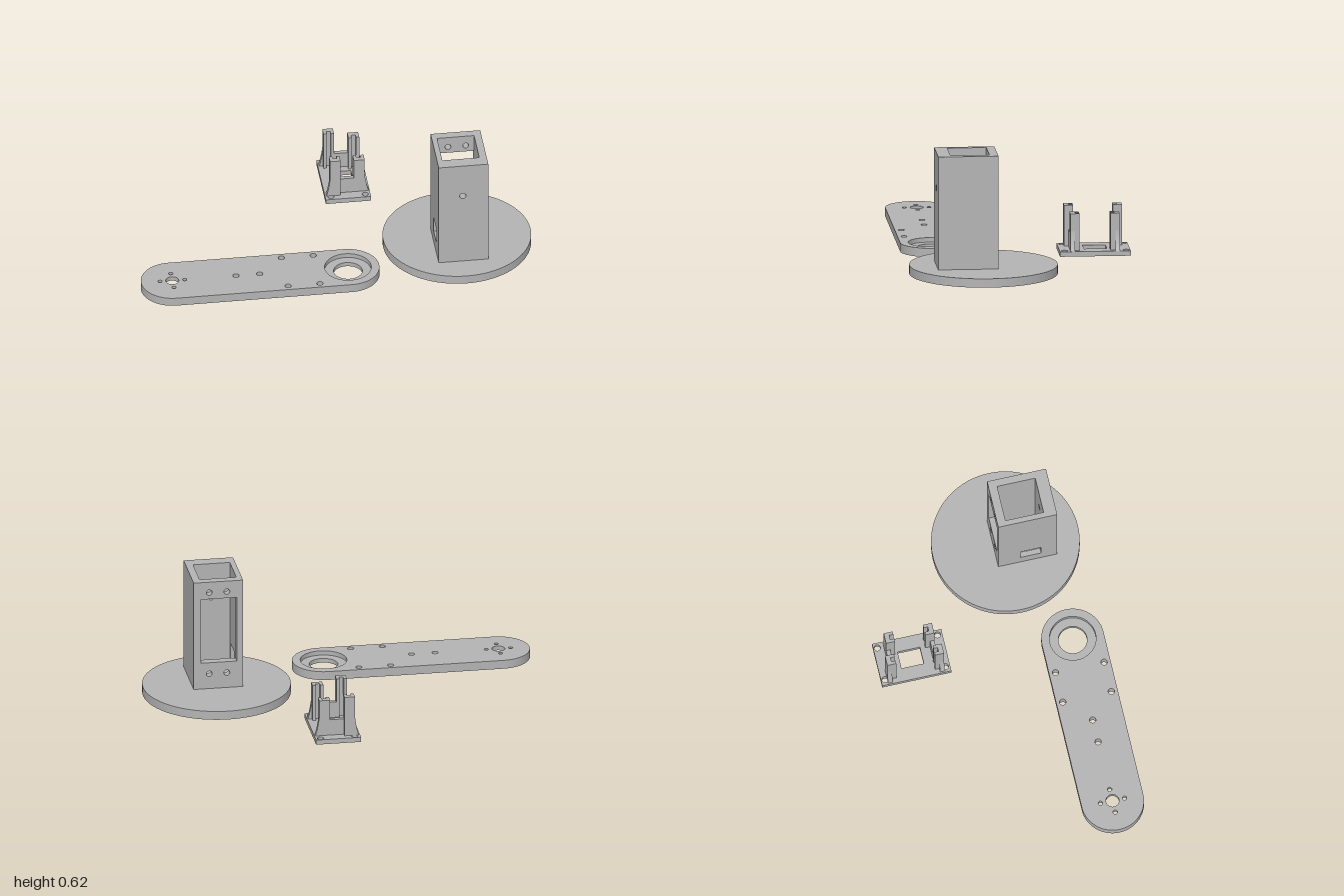
import * as THREE from 'three';

const grey = new THREE.MeshStandardMaterial({ color: 0xb4b4b4 });
grey.name = 'plain grey';

// Outline helpers
const rect = (x0, y0, x1, y1) => [[x0, y0], [x1, y0], [x1, y1], [x0, y1]];
const toPoints = (list) => list.map(([x, y]) => new THREE.Vector2(x, y));
const poly = (list) => new THREE.Shape(toPoints(list));
const rectHole = (...r) => new THREE.Path(toPoints(rect(...r)));
const circleHole = (x, y, r) => new THREE.Path().absarc(x, y, r, 0, Math.PI * 2, true);

function extrude(shape, depth, holes = []) {
  shape.holes.push(...holes);
  return new THREE.ExtrudeGeometry(shape, { depth, bevelEnabled: false, curveSegments: 40 });
}
function add(group, name, geometry) {
  const mesh = new THREE.Mesh(geometry, grey);
  mesh.name = name;
  group.add(mesh);
}
// Horizontal slab: the outline is given as x, z
function slab(group, name, shape, y0, y1, holes) {
  add(group, name, extrude(shape, y1 - y0, holes).rotateX(Math.PI / 2).translate(0, y1, 0));
}
// Wall facing z: the outline is given as x, y
function wallZ(group, name, shape, z0, z1, holes) {
  add(group, name, extrude(shape, z1 - z0, holes).translate(0, 0, z0));
}
// Wall facing x: the outline is given as -z, y
function wallX(group, name, shape, x0, x1, holes) {
  add(group, name, extrude(shape, x1 - x0, holes).rotateY(Math.PI / 2).translate(x0, 0, 0));
}
// Centre bore ringed by four screw holes
function hubHoles(x, z) {
  const d = 0.062;
  return [circleHole(x, z, 0.033),
    ...[[d, 0], [-d, 0], [0, d], [0, -d]].map(([a, b]) => circleHole(x + a, z + b, 0.011))];
}

function makeArm() {
  const g = new THREE.Group();
  g.name = 'linkArm';
  const xa = -0.842, xb = 0.047, z = 0.413, r = 0.158;
  const outline = () => new THREE.Shape()
    .absarc(xb, z, r, -Math.PI / 2, Math.PI / 2, false)
    .absarc(xa, z, r, Math.PI / 2, Math.PI * 1.5, false);
  const screws = () => [[-0.52, z], [-0.4, z],
    ...[-0.273, -0.112].flatMap((x) => [[x, 0.288], [x, 0.538]])]
    .map(([x, y]) => circleHole(x, y, 0.016));
  slab(g, 'armLowerLayer', outline(), 0, 0.022,
    [circleHole(xb, z, 0.072), circleHole(xa, z, 0.115), ...screws()]);
  slab(g, 'armUpperLayer', outline(), 0.022, 0.045,
    [circleHole(xb, z, 0.117), ...hubHoles(xa, z), ...screws()]);
  return g;
}

function makeBase() {
  const g = new THREE.Group();
  g.name = 'turntableBase';
  const x = 0.627, z = 0.2;
  const disc = () => new THREE.Shape().absarc(x, z, 0.373, 0, Math.PI * 2, false);
  slab(g, 'discLowerLayer', disc(), 0, 0.022, [circleHole(x, z, 0.115)]);
  slab(g, 'discMiddleLayer', disc(), 0.022, 0.04, hubHoles(x, z));
  slab(g, 'discTop', disc(), 0.04, 0.045);
  return g;
}

function makeTower() {
  const g = new THREE.Group();
  g.name = 'motorTower';
  const x0 = 0.503, x1 = 0.754, z0 = 0.135, z1 = 0.438; // outside
  const a0 = 0.53, a1 = 0.717, b0 = 0.178, b1 = 0.374; // hollow
  const y0 = 0.045, y1 = 0.622;
  slab(g, 'towerFloor', poly(rect(a0, b0, a1, b1)), y0, 0.09);
  wallZ(g, 'towerFrontWall', poly(rect(x0, y0, x1, y1)), b1, z1, [circleHole(0.625, 0.44, 0.016)]);
  wallZ(g, 'towerBackWall', poly(rect(x0, y0, x1, y1)), z0, b0, [
    rectHole(a0 + 0.004, 0.185, a1, 0.53),
    ...[0.585, 0.675].flatMap((x) => [circleHole(x, 0.565, 0.015), circleHole(x, 0.125, 0.015)]),
  ]);
  wallX(g, 'towerLeftWall', poly(rect(-b1, y0, -b0, y1)), a1, x1);
  wallX(g, 'towerRightWall', poly(rect(-b1, y0, -b0, y1)), x0, a0,
    [rectHole(-0.355, 0.11, -0.25, 0.19)]);
  return g;
}

function makeBracket() {
  const g = new THREE.Group();
  g.name = 'sensorBracket';
  const zc = -0.395, top = 0.025;
  slab(g, 'bracketPlate', poly(rect(0.021, -0.573, 0.25, -0.217)), 0, top, [
    rectHole(0.09, -0.458, 0.18, -0.343),
    ...[0.05, 0.224].flatMap((x) => [circleHole(x, -0.552, 0.016), circleHole(x, -0.242, 0.016)]),
  ]);
  // Slotted post: u measures outwards from the bracket's middle, slot opens inwards
  const post = (name, side, x0, x1, uIn, uOut, h) => {
    const s0 = x0 + 0.016, s1 = x1 - 0.016, slot = uIn + 0.021;
    const outline = [[x0, uIn], [s0, uIn], [s0, slot], [s1, slot], [s1, uIn], [x1, uIn],
      [x1, uOut], [x0, uOut]].map(([x, u]) => [x, zc + side * u]);
    slab(g, name, poly(outline), top, h);
  };
  // Curved foot that widens towards the plate
  const foot = (name, side, xTop, xEnd, uIn, uOut) => {
    const shape = new THREE.Shape();
    shape.moveTo(xTop, top);
    shape.lineTo(xEnd, top);
    shape.quadraticCurveTo(xTop + (xEnd - xTop) * 0.3, 0.07, xTop, 0.125);
    const [a, b] = [zc + side * uIn, zc + side * uOut];
    wallZ(g, name, shape, Math.min(a, b), Math.max(a, b));
  };
  for (const side of [1, -1]) {
    post('tallPost', side, 0.047, 0.1, 0.1, 0.146, 0.233);
    post('shortPost', side, 0.17, 0.225, 0.078, 0.124, 0.214);
    foot('tallPostFoot', side, 0.047, 0.028, 0.122, 0.146);
    foot('shortPostFoot', side, 0.225, 0.245, 0.102, 0.124);
    const [a, b] = [zc + side * 0.102, zc + side * 0.124];
    wallZ(g, 'bracketWeb', poly(rect(0.1, top, 0.17, 0.108)), Math.min(a, b), Math.max(a, b));
  }
  return g;
}

export function createModel() {
  const model = new THREE.Group();
  model.name = 'robotArmParts';
  model.add(makeArm(), makeBase(), makeTower(), makeBracket());
  return model;
}
